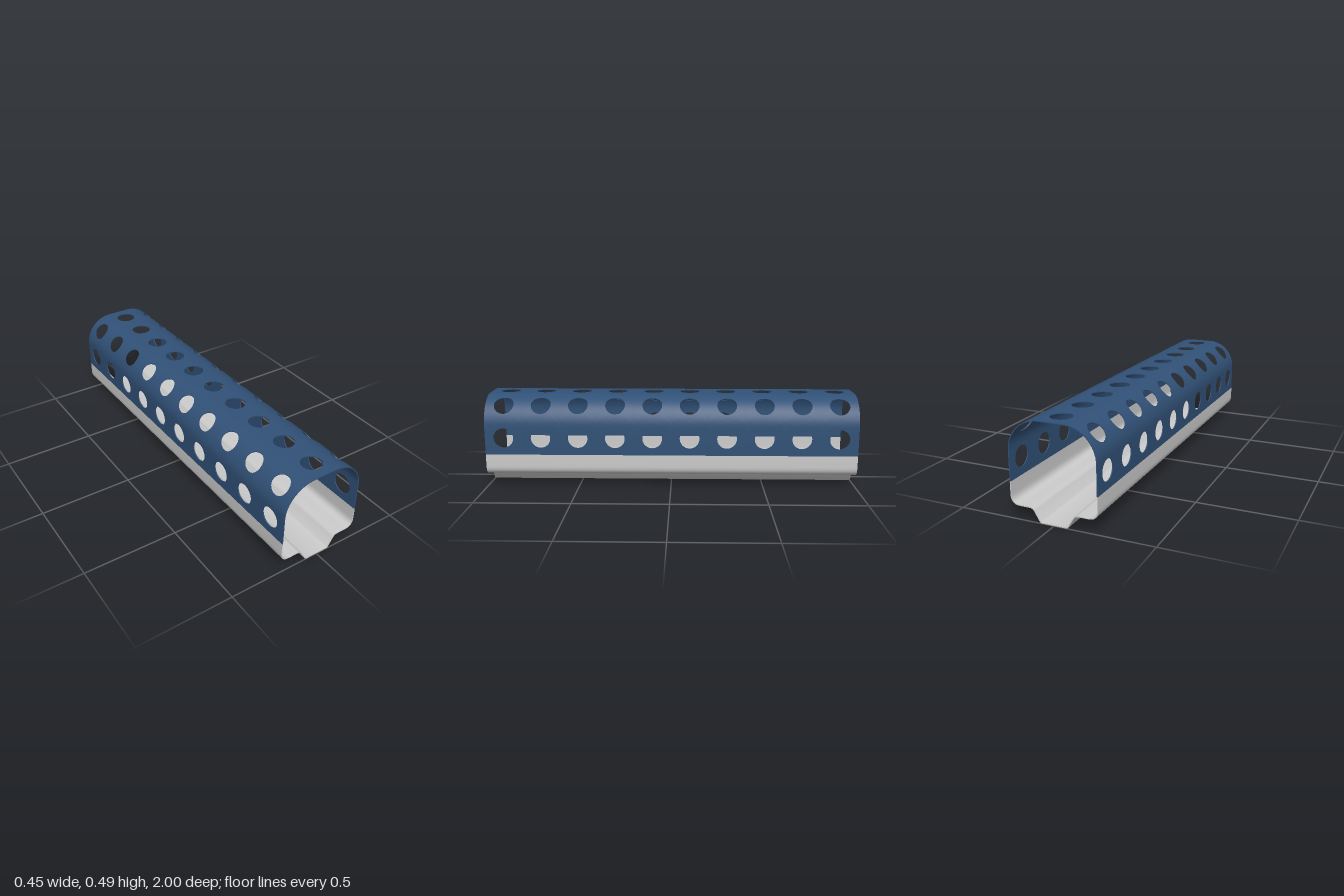
import * as THREE from 'three';
import { toCreasedNormals } from 'three/addons/utils/BufferGeometryUtils.js';

const WIDTH = 0.225, TOP = 0.491, SEAM = 0.18, CORNER = 0.16, THICK = 0.005;
const FLAT = WIDTH - CORNER;                  // half width of the flat top
const ARC = CORNER * Math.PI / 2;             // length of a rounded corner
const HALF = FLAT + ARC + (TOP - CORNER - SEAM); // sheet length from crown to seam
const HOLE = 0.053;

// Point on the bent cover: s runs across from the crown, depth goes inwards
function bend(s, z, depth) {
  const sign = Math.sign(s), d = Math.abs(s);
  const a = THREE.MathUtils.clamp((d - FLAT) / CORNER, 0, Math.PI / 2);
  const r = CORNER - depth;
  const x = Math.min(d, FLAT) + r * Math.sin(a);
  const y = TOP - CORNER + r * Math.cos(a) - Math.max(0, d - FLAT - ARC);
  return [sign * x, y, z];
}

// Perforated cover: a grid of cells, each a ring mesh from a round hole to a rectangle
function coverGeometry() {
  const positions = [];
  const quad = (a, b, c, d) => positions.push(...a, ...b, ...c, ...a, ...c, ...d);
  const SIDE = 8, N = SIDE * 4, RINGS = 5;
  const rows = [
    [-HALF, -0.376, -0.283], [-0.283, -0.191, -0.095], [-0.095, 0, 0.095],
    [0.095, 0.191, 0.283], [0.283, 0.376, HALF],
  ];
  for (const [s0, sc, s1] of rows) {
    for (let col = 0; col < 10; col++) {
      const zc = -0.9 + col * 0.2, z0 = zc - 0.1, z1 = zc + 0.1;
      const corners = [[s1, z0], [s1, z1], [s0, z1], [s0, z0]];
      const flatPoint = (j, k) => {
        const i = k % N, side = Math.floor(i / SIDE), f = (i % SIDE) / SIDE;
        const p = corners[side], q = corners[(side + 1) % 4];
        const angle = -Math.PI / 4 + i / N * Math.PI * 2, t = j / RINGS;
        return [
          THREE.MathUtils.lerp(sc + HOLE * Math.cos(angle), p[0] + (q[0] - p[0]) * f, t),
          THREE.MathUtils.lerp(zc + HOLE * Math.sin(angle), p[1] + (q[1] - p[1]) * f, t),
        ];
      };
      const outer = (j, k) => bend(...flatPoint(j, k), 0);
      const inner = (j, k) => bend(...flatPoint(j, k), THICK);
      // the straight walls and crown keep the same thickness as the corners
      for (let k = 0; k < N; k++) {
        for (let j = 0; j < RINGS; j++) {
          quad(outer(j, k), outer(j, k + 1), outer(j + 1, k + 1), outer(j + 1, k));
          quad(inner(j + 1, k), inner(j + 1, k + 1), inner(j, k + 1), inner(j, k));
        }
        // hole rim
        quad(inner(0, k), inner(0, k + 1), outer(0, k + 1), outer(0, k));
        // free edges of the sheet
        const side = Math.floor(k / SIDE);
        const free = [s1 === HALF, col === 9, s0 === -HALF, col === 0][side];
        if (free) quad(outer(RINGS, k), outer(RINGS, k + 1), inner(RINGS, k + 1), inner(RINGS, k));
      }
    }
  }
  const geometry = new THREE.BufferGeometry();
  geometry.setAttribute('position', new THREE.Float32BufferAttribute(positions, 3));
  return toCreasedNormals(geometry, 0.6);
}

// Folded tray: outer outline with rounded bends, offset inwards and extruded
function trayGeometry() {
  const half = [[WIDTH, SEAM], [WIDTH, 0.067], [0.11, 0.067], [0.07, 0]];
  const radii = [0, 0.05, 0.016, 0.008];
  const all = [...half, ...half.map(([x, y]) => [-x, y]).reverse()]
    .map(([x, y]) => new THREE.Vector2(x, y));
  const radiusAt = [...radii, ...[...radii].reverse()];

  const line = [all[0]];
  for (let i = 1; i < all.length - 1; i++) {
    const p = all[i];
    const towards = (q) => q.clone().sub(p).setLength(radiusAt[i]).add(p);
    const curve = new THREE.QuadraticBezierCurve(towards(all[i - 1]), p, towards(all[i + 1]));
    line.push(...curve.getPoints(8));
  }
  line.push(all[all.length - 1]);

  const inside = line.map((p, i) => {
    const d = line[Math.min(i + 1, line.length - 1)].clone()
      .sub(line[Math.max(i - 1, 0)]).normalize();
    return new THREE.Vector2(p.x + d.y * THICK, p.y - d.x * THICK);
  });
  const shape = new THREE.Shape([...line, ...inside.reverse()]);
  const geometry = new THREE.ExtrudeGeometry(shape, { depth: 2, bevelEnabled: false });
  geometry.translate(0, 0, -1);
  return toCreasedNormals(geometry, 0.5);
}

export function createModel() {
  const model = new THREE.Group();
  model.name = 'perforatedChannel';

  const cover = new THREE.Mesh(coverGeometry(), new THREE.MeshStandardMaterial({ color: 0x315177 }));
  cover.name = 'perforatedCover';

  const tray = new THREE.Mesh(trayGeometry(), new THREE.MeshStandardMaterial({ color: 0xcccccc }));
  tray.name = 'foldedTray';

  model.add(cover, tray);
  return model;
}
